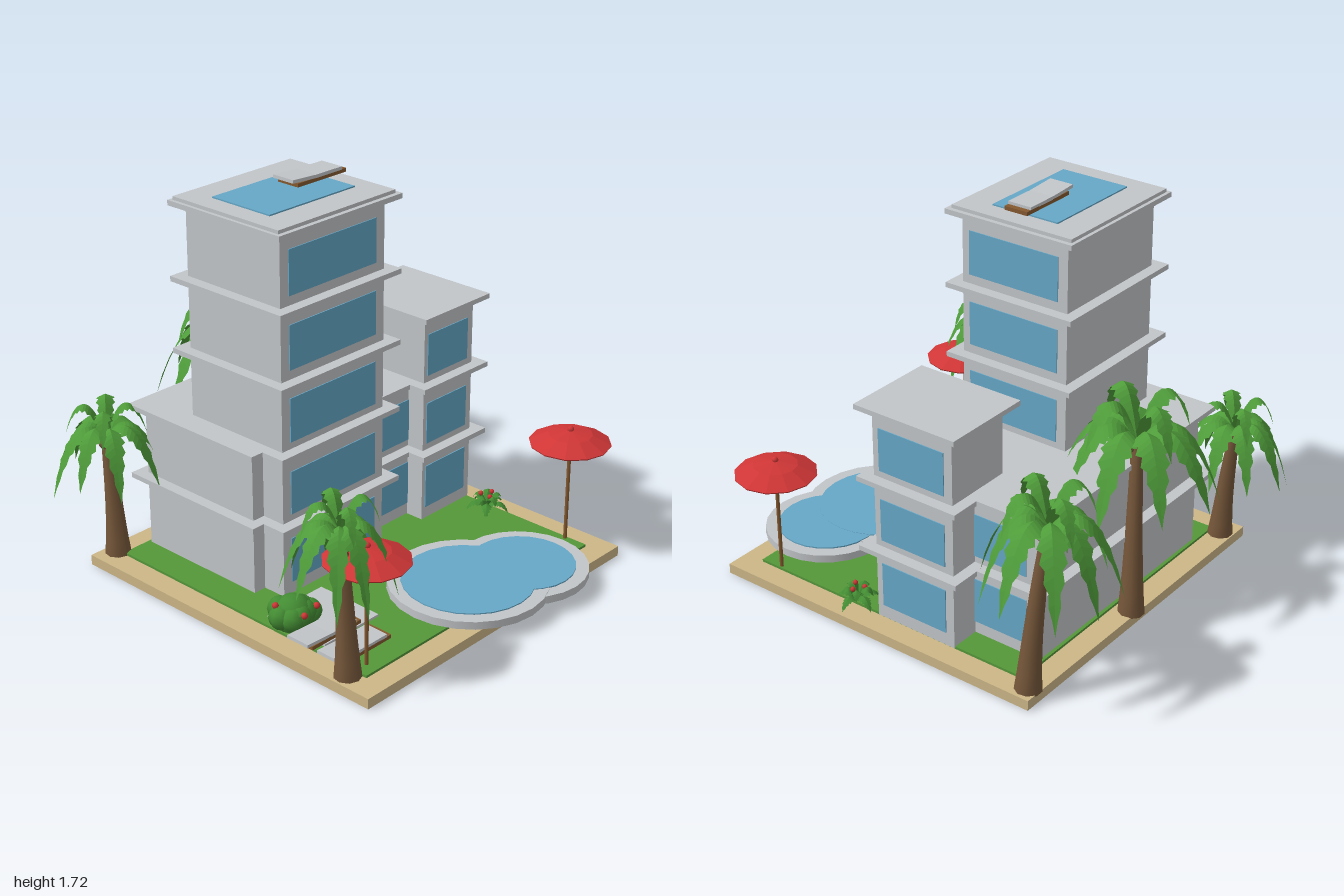
import * as THREE from 'three';

const mat = (name, color, double = false) => {
  const m = new THREE.MeshStandardMaterial({ color });
  m.name = name;
  if (double) m.side = THREE.DoubleSide;
  return m;
};

export function createModel() {
  const root = new THREE.Group();
  root.name = 'beachHotel';
  const M = {
    sand: mat('sand', 0xcdb788),
    grass: mat('grass', 0x55983a),
    wall: mat('concrete', 0xc3c6c9),
    blue: mat('glassAndWater', 0x66a8c8),
    leaf: mat('palmLeaf', 0x4f9c3a, true),
    bush: mat('bushGreen', 0x438c33, true),
    trunk: mat('trunk', 0x76573a),
    wood: mat('wood', 0x85592f),
    red: mat('red', 0xd03636, true),
  };
  const add = (parent, name, geo, material, x = 0, y = 0, z = 0) => {
    const m = new THREE.Mesh(geo, material);
    m.name = name;
    m.position.set(x, y, z);
    parent.add(m);
    return m;
  };
  const group = (name) => {
    const g = new THREE.Group();
    g.name = name;
    root.add(g);
    return g;
  };
  // Box given by its extents on each axis
  const box = (parent, name, material, x0, x1, y0, y1, z0, z1) =>
    add(parent, name, new THREE.BoxGeometry(x1 - x0, y1 - y0, z1 - z0), material,
      (x0 + x1) / 2, (y0 + y1) / 2, (z0 + z1) / 2);
  const flat = (geo) => {
    const g = geo.index ? geo.toNonIndexed() : geo;
    g.computeVertexNormals();
    return g;
  };
  let seed = 7;
  const rnd = () => (seed = (seed * 16807) % 2147483647) / 2147483647;

  // Ground
  box(root, 'sandBase', M.sand, -0.8, 0.79, 0, 0.045, -0.71, 0.88);
  box(root, 'lawn', M.grass, -0.7, 0.69, 0.04, 0.056, -0.61, 0.78);
  box(root, 'patio', M.wall, -0.66, -0.35, 0.05, 0.066, 0.21, 0.525);

  // Building blocks: walls, a projecting slab on each floor, windows on front and +x side
  const floors = [[0.11, 0.31], [0.42, 0.61], [0.74, 0.93], [1.05, 1.24], [1.36, 1.55]];
  const slabs = [0.38, 0.70, 1.0, 1.31, 1.632];
  const block = (name, [x0, x1, z0, z1], n, top, front, side) => {
    const g = group(name);
    box(g, 'walls', M.wall, x0, x1, 0.05, top, z0, z1);
    for (let i = 0; i < n; i++) {
      const y = i === n - 1 ? top : slabs[i], [a, b] = floors[i], o = 0.05;
      box(g, 'floorSlab', M.wall, x0 - o, x1 + o, y - 0.012, y + 0.01, z0 - o, z1 + o);
      box(g, 'frontWindow', M.blue, front[0], front[1], a, b, z1 - 0.004, z1 + 0.004);
      box(g, 'sideWindow', M.blue, x1 - 0.004, x1 + 0.004, a, b, side[0], side[1]);
    }
    return g;
  };
  const tower = block('tower', [-0.5, 0.09, -0.37, 0.145], 5, 1.628, [-0.455, 0.04], [-0.325, 0.11]);
  block('lowWing', [-0.56, 0.56, -0.595, 0.035], 2, 0.70, [0.05, 0.42], [-0.53, -0.2]);
  block('sideWing', [0.38, 0.695, -0.275, 0.12], 3, 1.02, [0.4, 0.66], [-0.235, 0.09]);
  box(tower, 'roofSlab', M.wall, -0.535, 0.12, 1.63, 1.653, -0.405, 0.175);
  box(tower, 'roofPool', M.blue, -0.445, 0.03, 1.652, 1.659, -0.275, 0.04);

  // Sun loungers: wooden frame and a two-piece mattress
  const lounger = (x, y, z) => {
    const g = group('lounger');
    g.position.set(x, y, z);
    box(g, 'frame', M.wood, -0.135, 0.14, 0, 0.016, -0.055, 0.055);
    box(g, 'seatCushion', M.wall, -0.03, 0.115, 0.014, 0.028, -0.055, 0.055);
    const back = box(g, 'backCushion', M.wall, -0.162, -0.025, 0.018, 0.032, -0.055, 0.055);
    back.rotation.z = -0.06;
  };
  lounger(-0.05, 1.68, -0.118);
  lounger(-0.61, 0.085, 0.485);
  lounger(-0.61, 0.085, 0.645);

  // Swimming pool: two overlapping round basins
  const pool = group('swimmingPool');
  [[0.07, 0.64, 0.335, 0.278, 0], [0.33, 0.72, 0.277, 0.222, -0.003]].forEach(([x, z, R, r, d]) => {
    add(pool, 'poolRim', new THREE.CylinderGeometry(R, R, 0.034, 24), M.wall, x, 0.076 + d, z);
    add(pool, 'poolWater', new THREE.CylinderGeometry(r, r, 0.006, 24), M.blue, x, 0.095 + d / 2, z);
  });

  // Parasols
  const canopy = [[0, 0.545], [0.09, 0.54], [0.172, 0.51], [0.175, 0.516], [0.095, 0.555], [0, 0.572]]
    .map(([x, y]) => new THREE.Vector2(x, y));
  [[0.677, 0.68], [-0.64, 0.725]].forEach(([x, z]) => {
    const g = group('parasol');
    g.position.set(x, 0, z);
    add(g, 'pole', new THREE.CylinderGeometry(0.008, 0.008, 0.5, 8), M.wood, 0, 0.3, 0);
    add(g, 'canopy', flat(new THREE.LatheGeometry(canopy, 12)), M.red);
    add(g, 'knob', new THREE.SphereGeometry(0.014, 8, 6), M.red, 0, 0.575, 0);
  });

  // Palm leaf: folded along an arching rib, with toothed edges
  const frond = (a, R, rise, drop, w) => {
    const N = 16, pos = [], idx = [], c = Math.cos(a), s = Math.sin(a);
    for (let i = 0; i <= N; i++) {
      const t = i / N, r = R * t, y = 2 * t * (1 - t) * rise - t * t * drop;
      const half = w * (0.08 + Math.sin(Math.PI * Math.pow(t, 0.8))) * (i % 2 ? 0.72 : 1) * (i === N ? 0 : 1);
      for (const k of [-1, 0, 1]) {
        const q = r + (k ? half * 0.25 : 0);
        pos.push(c * Math.min(q, R) - s * k * half, y - Math.abs(k) * half * 0.55, s * Math.min(q, R) + c * k * half);
      }
      if (i < N) for (const k of [0, 1]) {
        const p = i * 3 + k;
        idx.push(p, p + 1, p + 3, p + 1, p + 4, p + 3);
      }
    }
    const g = new THREE.BufferGeometry();
    g.setAttribute('position', new THREE.Float32BufferAttribute(pos, 3));
    g.setIndex(idx);
    return flat(g);
  };
  const palm = (bx, bz, tx, ty, tz, R, phase, drop) => {
    const g = group('palmTree'), h = ty - 0.04;
    const trunk = new THREE.CylinderGeometry(0.024, 0.046, h, 9, 8), p = trunk.attributes.position;
    for (let i = 0; i < p.count; i++) {
      const t = p.getY(i) / h + 0.5, flare = 1 + 0.25 * Math.pow(1 - t, 4), e = t * t * 0.5 + t * 0.5;
      p.setXYZ(i, p.getX(i) * flare + bx + (tx - bx) * e, t * h + 0.04, p.getZ(i) * flare + bz + (tz - bz) * e);
    }
    trunk.computeVertexNormals();
    add(g, 'trunk', trunk, M.trunk);
    for (let i = 0; i < 9; i++) {
      const k = i ? 0.82 + 0.18 * rnd() : 1, a = phase + (i + (i ? (rnd() - 0.5) * 0.4 : 0)) * Math.PI * 2 / 9;
      add(g, 'leaf', frond(a, R * k, R * 0.8, R * drop * (0.75 + 0.4 * rnd()), R * 0.19), M.leaf, tx, ty, tz);
    }
    for (let i = 0; i < 4; i++)
      add(g, 'upperLeaf', frond(phase + 0.4 + i * 1.6, R * 0.68, R * 1.2, -R * 0.05, R * 0.15), M.leaf, tx, ty, tz);
    for (let i = 0; i < 3; i++)
      add(g, 'coconut', new THREE.SphereGeometry(0.021, 8, 6), M.trunk,
        tx + 0.032 * Math.cos(i * 2.1 + 0.6), ty - 0.02, tz + 0.032 * Math.sin(i * 2.1 + 0.6));
  };
  palm(-0.735, 0.715, -0.735, 0.65, 0.675, 0.235, Math.PI, 1.1);
  palm(-0.7, -0.65, -0.69, 0.57, -0.7, 0.25, Math.PI + 0.3, 0.9);
  palm(0.72, -0.66, 0.67, 0.76, -0.71, 0.3, 0, 0.9);
  palm(0.04, -0.68, -0.015, 0.8, -0.645, 0.35, -Math.PI / 2, 0.7);

  // Rounded bush made of squashed lumps, with berries
  const bush = group('roundBush');
  bush.position.set(-0.63, 0.05, 0.325);
  add(bush, 'bushCore', new THREE.SphereGeometry(0.085, 10, 8), M.bush, 0, 0.06, 0);
  for (let i = 0; i < 9; i++) {
    const a = i * 2.4, r = 0.035 + 0.035 * (i % 3) / 2 + 0.01 * rnd();
    const y = 0.1 - r * 0.75 + 0.02 * rnd();
    add(bush, 'bushLump', new THREE.SphereGeometry(0.052, 8, 6), M.bush, r * Math.cos(a), y, r * Math.sin(a));
  }
  [[-0.07, 0.115, -0.03], [0.06, 0.1, 0.07], [-0.03, 0.1, 0.09]].forEach(([x, y, z]) =>
    add(bush, 'berry', new THREE.SphereGeometry(0.014, 8, 6), M.red, x, y, z));

  // Low leafy plant with red flowers
  const plant = group('leafyPlant');
  plant.position.set(0.67, 0.055, 0.255);
  for (let i = 0; i < 10; i++) {
    const k = i % 2;
    add(plant, 'plantLeaf', frond(i * Math.PI / 5, k ? 0.07 : 0.1, k ? 0.12 : 0.08, k ? -0.03 : 0.01, 0.024), M.bush);
  }
  for (let i = 0; i < 3; i++)
    add(plant, 'flower', new THREE.SphereGeometry(0.011, 8, 6), M.red,
      0.03 * Math.cos(i * 2.1), 0.065, 0.03 * Math.sin(i * 2.1));

  return root;
}
